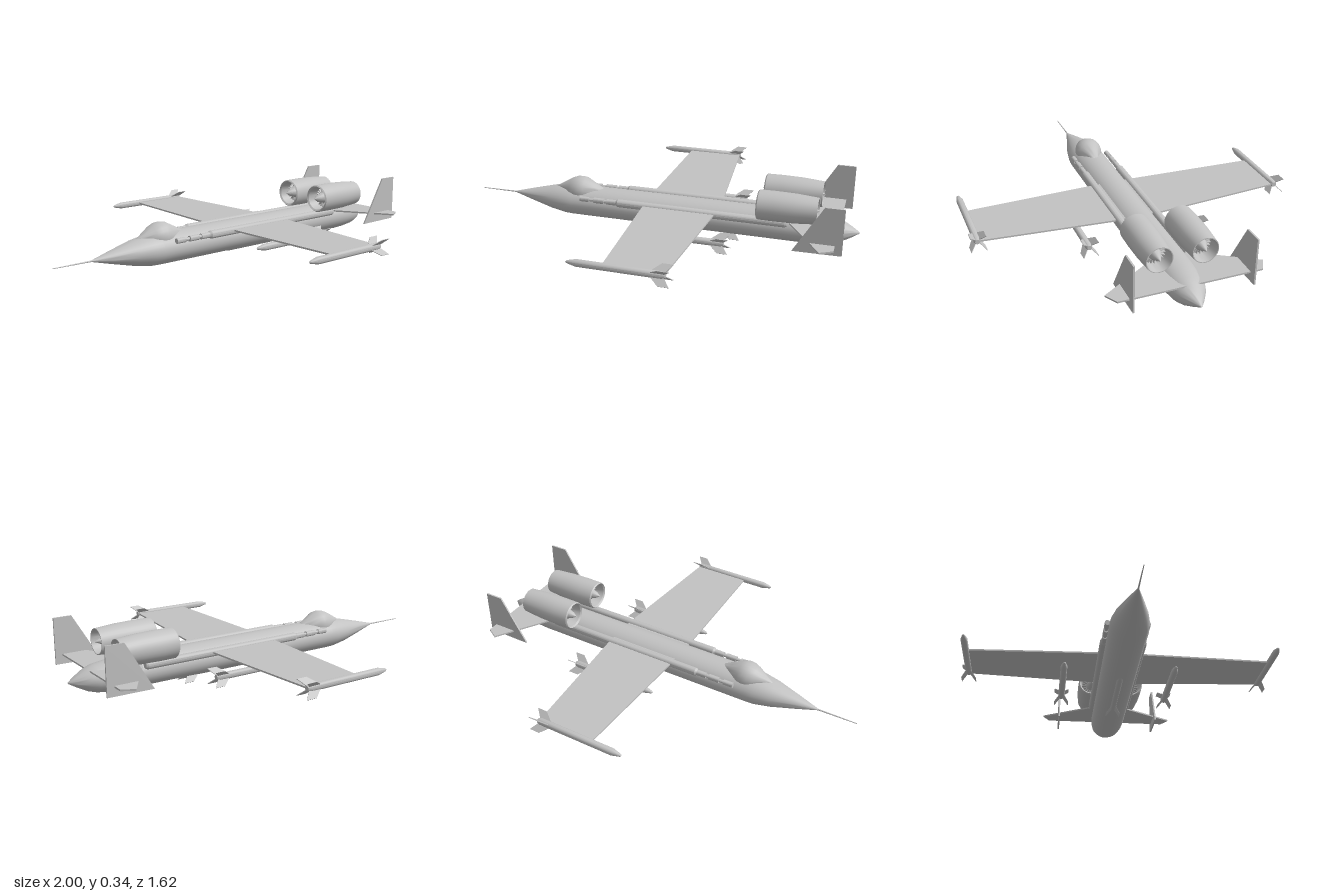
import * as THREE from 'three';
import { toCreasedNormals } from 'three/addons/utils/BufferGeometryUtils.js';

const grey = new THREE.MeshStandardMaterial({ color: 0xc2c2c2 });
grey.name = 'airframe grey';

function part(name, geometry, parent, x = 0, y = 0, z = 0) {
  const mesh = new THREE.Mesh(geometry, grey);
  mesh.name = name;
  mesh.position.set(x, y, z);
  parent.add(mesh);
  return mesh;
}

// Body of revolution along x, from [x, radius] pairs
function turned(profile, segments = 24, crease = 0.5) {
  const points = profile.map(([x, r]) => new THREE.Vector2(r, x));
  const geometry = new THREE.LatheGeometry(points, segments).rotateZ(-Math.PI / 2);
  return toCreasedNormals(geometry, crease);
}

// Flat plate in the xy plane, centred on its thickness
function plate(points, thickness) {
  const shape = new THREE.Shape(points.map(([x, y]) => new THREE.Vector2(x, y)));
  return new THREE.ExtrudeGeometry(shape, { depth: thickness, bevelEnabled: false })
    .translate(0, 0, -thickness / 2);
}

// Horizontal surface: half outline of [x, z] mirrored across the centreline
function span(half, thickness) {
  const mirrored = half.map(([x, z]) => [x, -z]).reverse();
  return plate([...half, ...mirrored], thickness).rotateX(Math.PI / 2);
}

// Missile with four swept tail fins in an X, nose at x = 0
function missile(name, parent, x, y, z) {
  const group = new THREE.Group();
  group.name = name;
  group.position.set(x, y, z);
  part('missileBody', turned([[0, 0], [0.008, 0.007], [0.05, 0.017], [0.44, 0.017], [0.455, 0.012], [0.455, 0]], 16), group);
  const fin = plate([[0.385, 0.012], [0.45, 0.012], [0.48, 0.052], [0.43, 0.052]], 0.003);
  for (let i = 0; i < 4; i++) {
    part('missileFin', fin, group).rotation.x = Math.PI / 4 + i * Math.PI / 2;
  }
  parent.add(group);
}

// Hollow nacelle with intake spike, fan blades and exhaust cone
function engine(side, parent) {
  const group = new THREE.Group();
  group.name = 'engine';
  group.position.set(0, 0.241, side * 0.108);
  part('nacelle', turned([
    [0.525, 0.06], [0.518, 0.067], [0.524, 0.072], [0.6, 0.073], [0.7, 0.071], [0.805, 0.063],
    [0.805, 0.059], [0.75, 0.05], [0.6, 0.05], [0.525, 0.06],
  ], 32), group);
  part('engineCore', turned([
    [0.505, 0], [0.53, 0.016], [0.57, 0.028], [0.72, 0.032], [0.76, 0.026], [0.815, 0],
  ], 24), group);
  part('fanDisc', turned([[0.63, 0.02], [0.63, 0.051], [0.69, 0.051], [0.69, 0.02]].reverse().map(([x, r]) => [1.32 - x, r]), 24), group);
  const blade = new THREE.BoxGeometry(0.18, 0.024, 0.003).translate(0.66, 0.039, 0);
  for (let i = 0; i < 20; i++) {
    part('fanBlade', blade, group).rotation.x = i * Math.PI / 10;
  }
  parent.add(group);
}

export function createModel() {
  const model = new THREE.Group();
  model.name = 'attackJet';

  // Fuselage, slightly flattened, pointing towards -x
  part('fuselage', turned([
    [-0.82, 0], [-0.7, 0.038], [-0.58, 0.074], [-0.5, 0.09], [-0.46, 0.092], [0.74, 0.092],
    [0.8, 0.089], [0.87, 0.079], [0.91, 0.064], [0.96, 0.032], [0.995, 0.006], [1, 0],
  ], 32), model, 0, 0.106, 0).scale.y = 0.83;
  part('noseProbe', turned([[-1, 0], [-1, 0.002], [-0.8, 0.004], [-0.8, 0]], 8), model, 0, 0.106, 0);
  part('canopy', turned([
    [-0.575, 0], [-0.53, 0.026], [-0.48, 0.056], [-0.45, 0.068], [-0.425, 0.07],
    [-0.4, 0.066], [-0.35, 0.04], [-0.31, 0.02], [-0.27, 0],
  ], 24, 0.7), model, 0, 0.164, 0);

  // Wing and tailplane
  part('wing', span([[-0.06, 0], [-0.06, 0.1], [-0.035, 0.76], [0.25, 0.76], [0.305, 0.1], [0.305, 0]], 0.008),
    model, 0, 0.155, 0);
  part('tailplane', span([[0.67, 0], [0.67, 0.09], [0.845, 0.372], [0.905, 0.338], [0.905, 0]], 0.008),
    model, 0, 0.152, 0);

  const tailFin = plate([[0.713, 0.105], [0.94, 0.108], [0.94, 0.337], [0.85, 0.337]], 0.008);
  const gunProfile = [
    [-0.4, 0], [-0.4, 0.013], [-0.35, 0.013], [-0.35, 0.008], [-0.325, 0.008], [-0.325, 0.014],
    [-0.27, 0.014], [-0.27, 0.009], [-0.255, 0.009], [-0.255, 0.014], [-0.205, 0.014],
    [-0.195, 0.02], [0.65, 0.02], [0.66, 0.015], [0.66, 0],
  ];
  for (const side of [-1, 1]) {
    part('tailFin', tailFin, model, 0, 0, side * 0.28);
    part('gunPod', turned(gunProfile, 16), model, 0, 0.152, side * 0.095);
    engine(side, model);
    missile('wingtipMissile', model, -0.2, 0.155, side * 0.77);
    missile('underwingMissile', model, -0.06, 0.095, side * 0.28);
  }
  missile('bellyMissile', model, -0.06, 0.0385, 0);
  return model;
}
